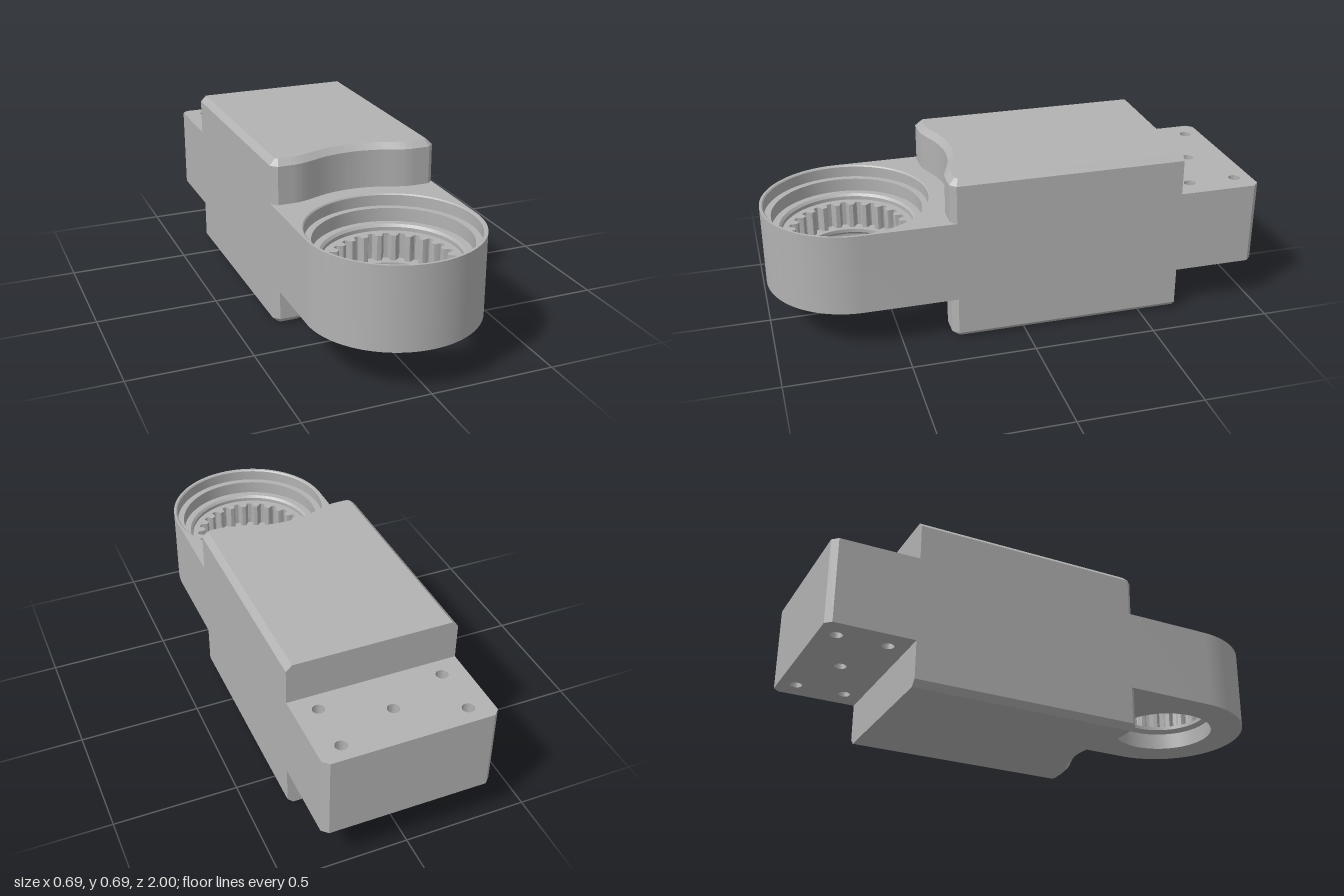
import * as THREE from 'three';
import { toCreasedNormals } from 'three/addons/utils/BufferGeometryUtils.js';

const HALF = 0.345;      // half width of the whole bracket
const EYE_Z = 0.653;     // centre of the splined eye
const CHAMFER = 0.024;

const metal = new THREE.MeshStandardMaterial({ color: 0xb2b2b2 });
metal.name = 'grey metal';

function part(name, geometry) {
  const mesh = new THREE.Mesh(toCreasedNormals(geometry, 0.45), metal);
  mesh.name = name;
  return mesh;
}

// Extrudes a plan shape (shape y = model z) from the height top downwards
function prism(shape, bottom, top, curveSegments = 48) {
  const g = new THREE.ExtrudeGeometry(shape, { depth: top - bottom, bevelEnabled: false, curveSegments });
  return g.rotateX(Math.PI / 2).translate(0, top, 0);
}

function circlePath(x, z, r) {
  return new THREE.Path().absarc(x, z, r, 0, Math.PI * 2, true);
}

// Plan of the main block, inset on the sides and front, with a scoop round the eye
function blockOutline(inset) {
  const h = HALF - inset, front = 0.3 - inset, back = -0.655;
  const leg = CHAMFER - 0.586 * inset, scoopR = 0.41 + inset, blend = 0.03;
  const pts = [[-h, back], [h, back], [h, front - leg], [h - leg, front]];
  for (let i = 0; i <= 56; i++) {
    const x = 0.28 - 0.01 * i;
    const arc = EYE_Z - Math.sqrt(scoopR * scoopR - x * x);
    const k = Math.max(blend - Math.abs(arc - front), 0) / blend;
    pts.push([x, Math.min(arc, front) - k * k * blend / 4]);
  }
  pts.push([-h + leg, front], [-h, front - leg]);
  return pts.map(([x, z]) => new THREE.Vector2(x, z));
}

// Lofts the block through four levels so its top and bottom edges are chamfered
function blockGeometry() {
  const levels = [[0, CHAMFER], [CHAMFER, 0], [0.671, 0], [0.695, CHAMFER]];
  const rings = levels.map(([, inset]) => blockOutline(inset));
  const n = rings[0].length;
  const positions = [], index = [];
  rings.forEach((ring, r) => ring.forEach(p => positions.push(p.x, levels[r][0], p.y)));
  for (let r = 0; r < 3; r++) {
    for (let i = 0; i < n; i++) {
      const a = r * n + i, b = r * n + (i + 1) % n;
      index.push(a, a + n, b + n, a, b + n, b);
    }
  }
  const top = 3 * n;
  for (const [a, b, c] of THREE.ShapeUtils.triangulateShape(rings[0], [])) {
    index.push(a, b, c, top + a, top + c, top + b);
  }
  const g = new THREE.BufferGeometry();
  g.setAttribute('position', new THREE.Float32BufferAttribute(positions, 3));
  g.setIndex(index);
  return g;
}

// Arm with a round end and an opening for the stepped bore
function armGeometry() {
  const s = new THREE.Shape();
  s.moveTo(-HALF, 0.1);
  s.lineTo(HALF, 0.1);
  s.lineTo(HALF, EYE_Z);
  s.absarc(0, EYE_Z, HALF, 0, Math.PI, false);
  s.lineTo(-HALF, 0.1);
  s.holes.push(circlePath(0, EYE_Z, 0.335));
  return prism(s, 0.18, 0.515);
}

// Stepped bore, from the rim down to the underside
function boreGeometry() {
  const profile = [
    [0.335, 0.515], [0.33, 0.51], [0.33, 0.465], [0.303, 0.465], [0.303, 0.41],
    [0.275, 0.41], [0.266, 0.4], [0.266, 0.385], [0.25, 0.385], [0.25, 0.28],
    [0.193, 0.28], [0.193, 0.265], [0.21, 0.25], [0.21, 0.18], [0.335, 0.18],
  ].map(([r, y]) => new THREE.Vector2(r, y));
  return new THREE.LatheGeometry(profile, 96).translate(0, 0, EYE_Z);
}

// Internal spline ring
function splineGeometry(teeth = 24) {
  const s = new THREE.Shape().absarc(0, EYE_Z, 0.25, 0, Math.PI * 2, false);
  const pts = [];
  const tooth = [[0.06, 0.237], [0.12, 0.241], [0.38, 0.241], [0.44, 0.237],
    [0.54, 0.217], [0.6, 0.213], [0.9, 0.213], [0.96, 0.217]];
  for (let i = 0; i < teeth; i++) {
    for (const [t, r] of tooth) {
      const a = (i + t) / teeth * Math.PI * 2;
      pts.push(new THREE.Vector2(Math.cos(a) * r, EYE_Z + Math.sin(a) * r));
    }
  }
  s.holes.push(new THREE.Path(pts));
  return prism(s, 0.28, 0.385);
}

const boltHoles = [[-0.25, -0.93], [0.25, -0.93], [-0.25, -0.73], [0.25, -0.73], [0, -0.83]];
const HOLE_R = 0.024;

// Mounting end with chamfered back corners and bolt holes
function tailGeometry() {
  const c = CHAMFER;
  const s = new THREE.Shape([
    [-HALF + c, -1], [HALF - c, -1], [HALF, -1 + c], [HALF, -0.6], [-HALF, -0.6], [-HALF, -1 + c],
  ].map(([x, z]) => new THREE.Vector2(x, z)));
  for (const [x, z] of boltHoles) s.holes.push(circlePath(x, z, HOLE_R));
  return prism(s, 0.178, 0.525, 12);
}

// Solid core closing each bolt hole with conical drill ends
function plugGeometry(x, z) {
  const profile = [[0, 0.264], [HOLE_R, 0.278], [HOLE_R, 0.425], [0, 0.411]]
    .map(([r, y]) => new THREE.Vector2(r, y));
  return new THREE.LatheGeometry(profile, 24).translate(x, 0, z);
}

export function createModel() {
  const model = new THREE.Group();
  model.name = 'splinedBracket';
  model.add(part('mainBlock', blockGeometry()));
  model.add(part('eyeArm', armGeometry()));
  model.add(part('steppedBore', boreGeometry()));
  model.add(part('splineRing', splineGeometry()));
  model.add(part('mountingEnd', tailGeometry()));

  const plugs = new THREE.Group();
  plugs.name = 'boltHoleEnds';
  for (const [x, z] of boltHoles) plugs.add(part('boltHoleEnd', plugGeometry(x, z)));
  model.add(plugs);
  return model;
}
